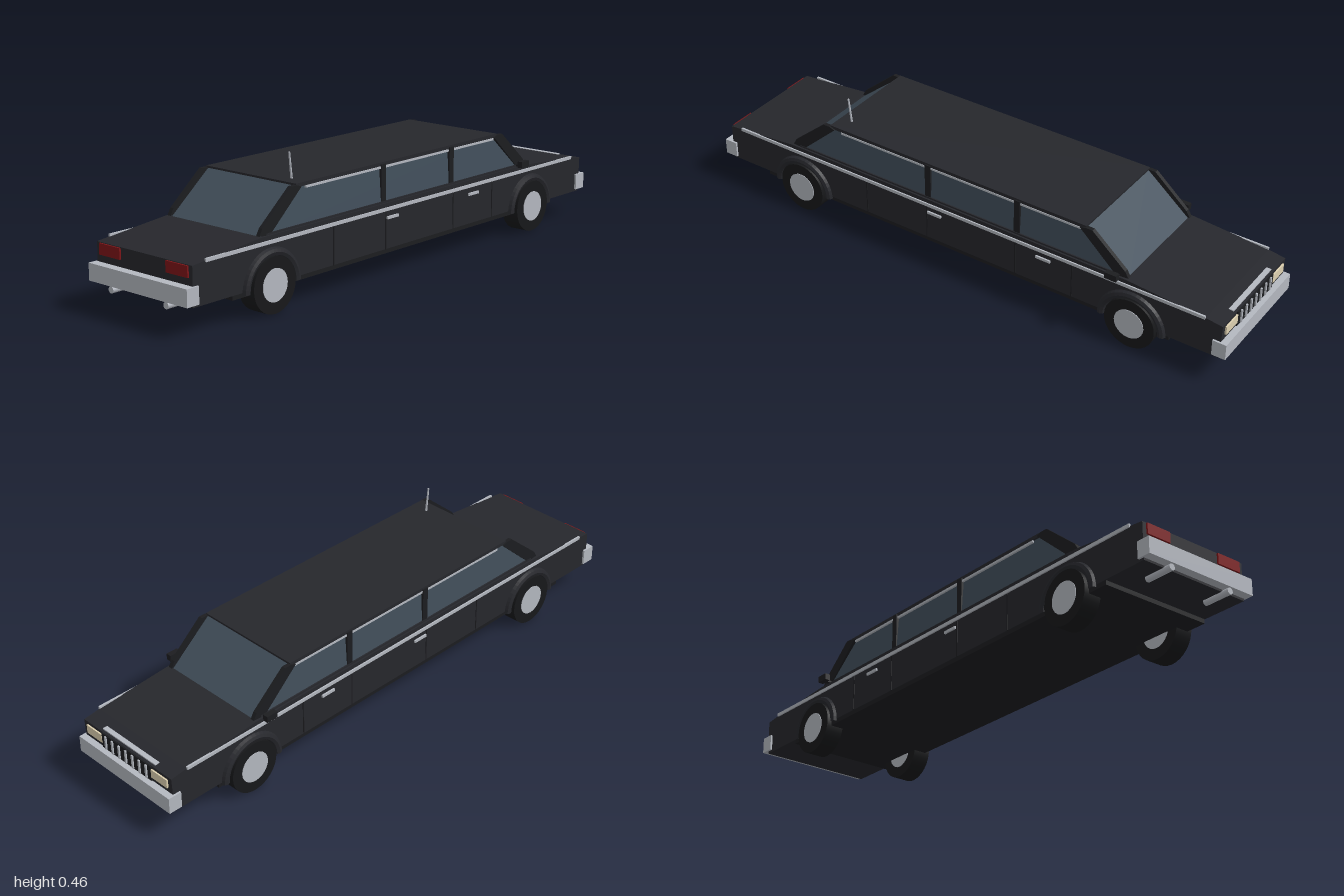
import * as THREE from 'three';

const paint = (color) => new THREE.MeshStandardMaterial({ color, flatShading: true });
const smooth = (color) => new THREE.MeshStandardMaterial({ color });
const BODY = paint(0x26272c), TRIM = paint(0x1c1d20), GLASS = paint(0x424f5b);
const CHROME = paint(0xb4b8c0), LAMP = paint(0xddd0b0), RED = paint(0x7d1518);
const TYRE = smooth(0x17181a), HUB = smooth(0xb4b8c0);

export function createModel() {
  const car = new THREE.Group();
  car.name = 'limousine';

  const add = (name, geometry, material, x = 0, y = 0, z = 0) => {
    const mesh = new THREE.Mesh(geometry, material);
    mesh.name = name;
    mesh.position.set(x, y, z);
    car.add(mesh);
    return mesh;
  };
  // Box given by its extents on each axis
  const box = (name, material, [x0, x1], [y0, y1], [z0, z1]) =>
    add(name, new THREE.BoxGeometry(x1 - x0, y1 - y0, Math.abs(z1 - z0)), material,
      (x0 + x1) / 2, (y0 + y1) / 2, (z0 + z1) / 2);
  // Side outline extruded across a width centred on z
  const slab = (name, material, points, width, z = 0) => {
    const shape = new THREE.Shape(points.map(([x, y]) => new THREE.Vector2(x, y)));
    const g = new THREE.ExtrudeGeometry(shape, { depth: width, bevelEnabled: false });
    return add(name, g.translate(0, 0, -width / 2), material, 0, 0, z);
  };

  // Lower body with sloping bonnet and boot, and the floor between the axles
  slab('body', BODY, [[-0.97, 0.09], [0.975, 0.09], [0.98, 0.213], [0.92, 0.221],
    [0.64, 0.242], [-0.69, 0.242], [-0.97, 0.216]], 0.414);
  box('underbody', TRIM, [-0.81, 0.8], [0.075, 0.1], [-0.205, 0.205]);

  // Cabin glass: a box whose top is drawn in to slope the screens
  const cabin = new THREE.BoxGeometry(1, 0.137, 1);
  const p = cabin.attributes.position;
  for (let i = 0; i < p.count; i++) {
    const top = p.getY(i) > 0;
    const x = p.getX(i) > 0 ? (top ? 0.48 : 0.645) : (top ? -0.52 : -0.69);
    p.setX(i, x);
    p.setZ(i, Math.sign(p.getZ(i)) * (top ? 0.188 : 0.197));
  }
  cabin.computeVertexNormals();
  add('cabinGlass', cabin, GLASS, 0, 0.305, 0);
  box('roof', BODY, [-0.525, 0.485], [0.364, 0.376], [-0.195, 0.195]);

  // Front face: grille, bars and top strip
  box('grille', TRIM, [0.97, 0.984], [0.158, 0.212], [-0.117, 0.117]);
  for (let i = -3; i <= 3; i++) {
    const z = i * 0.032;
    box('grilleBar', CHROME, [0.98, 0.989], [0.162, 0.209], [z - 0.0035, z + 0.0035]);
  }
  box('bonnetStrip', CHROME, [0.955, 0.972], [0.212, 0.218], [-0.125, 0.125]);

  // Bumpers
  box('frontBumper', CHROME, [0.952, 1], [0.098, 0.154], [-0.214, 0.214]);
  box('rearBumper', CHROME, [-1, -0.952], [0.098, 0.154], [-0.214, 0.214]);

  // Antenna
  const antenna = add('antenna', new THREE.CylinderGeometry(0.003, 0.004, 0.092, 8), TRIM, -0.485, 0.415, 0.135);
  antenna.material = CHROME;
  antenna.rotation.z = 0.11;

  for (const s of [1, -1]) {
    // Lamps and exhausts
    box('headlamp', LAMP, [0.97, 0.985], [0.173, 0.203], [s * 0.117, s * 0.19]);
    box('tailLamp', RED, [-0.976, -0.96], [0.178, 0.214], [s * 0.1, s * 0.192]);
    const pipe = add('exhaust', new THREE.CylinderGeometry(0.011, 0.011, 0.1, 12), HUB, -0.946, 0.086, s * 0.12);
    pipe.rotation.z = Math.PI / 2;

    // Side trim: belt strip, window rail, sill, pillars
    box('beltStrip', CHROME, [-0.92, 0.92], [0.217, 0.228], [s * 0.205, s * 0.212]);
    box('windowSill', BODY, [-0.66, 0.615], [0.236, 0.248], [s * 0.19, s * 0.201]);
    box('windowRail', CHROME, [-0.48, 0.465], [0.356, 0.363], [s * 0.186, s * 0.196]);
    for (const x of [-0.12, 0.23])
      box('doorPillar', TRIM, [x - 0.011, x + 0.011], [0.24, 0.37], [s * 0.185, s * 0.199]);
    slab('windscreenPillar', TRIM, [[0.465, 0.365], [0.6, 0.24], [0.645, 0.244],
      [0.632, 0.266], [0.51, 0.372], [0.485, 0.372]], 0.014, s * 0.193);
    slab('rearPillar', TRIM, [[-0.505, 0.365], [-0.645, 0.24], [-0.69, 0.244],
      [-0.677, 0.266], [-0.55, 0.372], [-0.525, 0.372]], 0.014, s * 0.193);

    // Doors
    for (const x of [-0.37, -0.12, 0.23, 0.445])
      box('doorSeam', TRIM, [x - 0.002, x + 0.002], [0.09, 0.215], [s * 0.2, s * 0.2085]);
    for (const x of [-0.088, 0.338])
      box('doorHandle', CHROME, [x - 0.027, x + 0.027], [0.189, 0.198], [s * 0.205, s * 0.213]);

    // Mirror
    box('mirror', TRIM, [0.58, 0.622], [0.243, 0.265], [s * 0.218, s * 0.237]);
    box('mirrorArm', TRIM, [0.595, 0.607], [0.243, 0.25], [s * 0.19, s * 0.22]);

    // Wheels and arches
    for (const x of [-0.648, 0.667]) {
      const tyre = add('tyre', new THREE.CylinderGeometry(0.09, 0.09, 0.064, 32), TYRE, x, 0.09, s * 0.19);
      tyre.rotation.x = Math.PI / 2;
      const hub = add('hubcap', new THREE.CylinderGeometry(0.053, 0.053, 0.068, 24), HUB, x, 0.09, s * 0.19);
      hub.rotation.x = Math.PI / 2;
      const arch = add('wheelArch', new THREE.TorusGeometry(0.109, 0.014, 8, 24, Math.PI), BODY, x, 0.082, s * 0.207);
      arch.name = 'wheelArch';
    }
  }
  return car;
}
